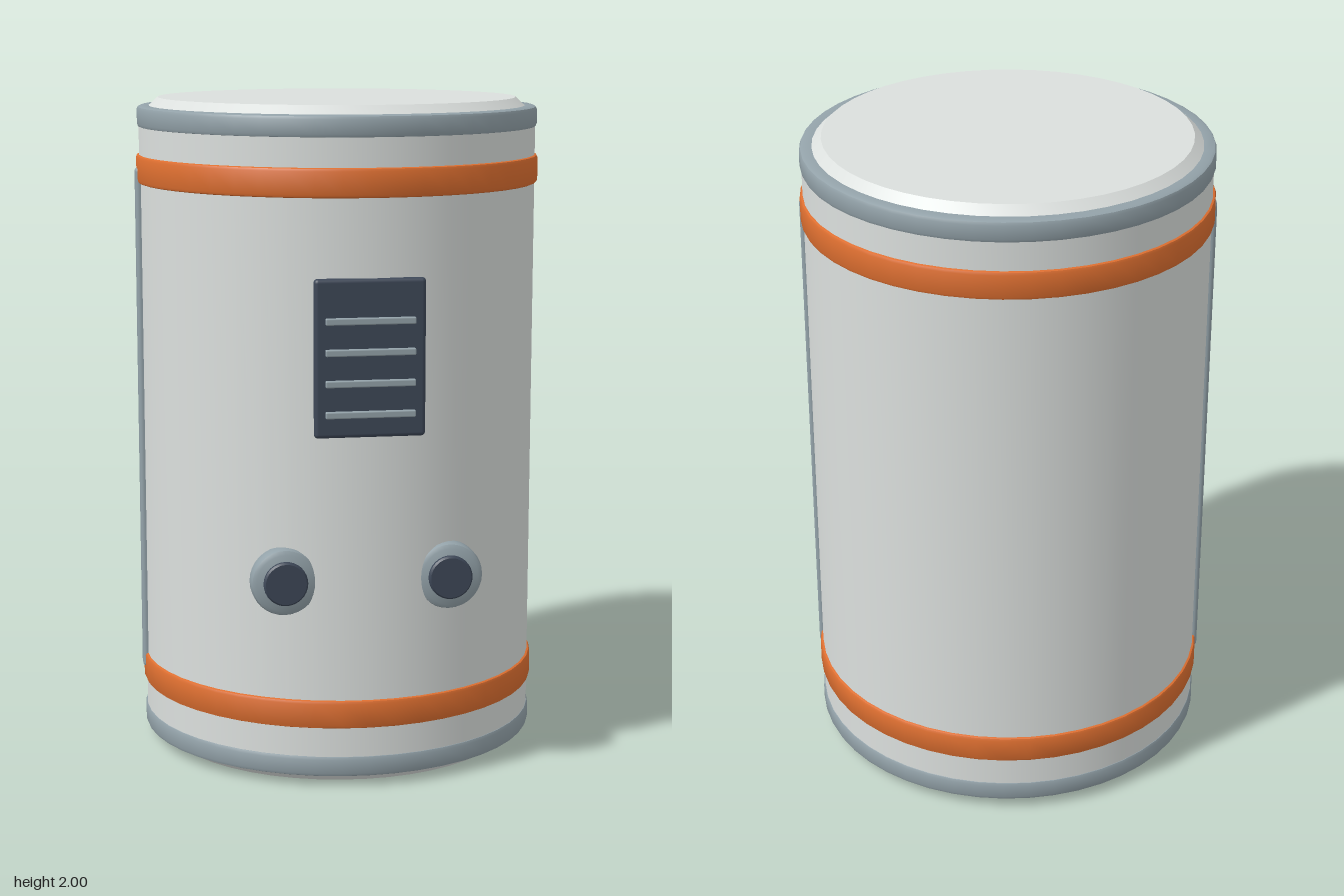
import * as THREE from 'three';
import { toCreasedNormals } from 'three/addons/utils/BufferGeometryUtils.js';
import { RoundedBoxGeometry } from 'three/addons/geometries/RoundedBoxGeometry.js';

const material = (name, color) => {
  const m = new THREE.MeshStandardMaterial({ color });
  m.name = name;
  return m;
};

// Revolved profile with crisp bevel edges
const lathe = (points, segments) => toCreasedNormals(
  new THREE.LatheGeometry(points.map(([r, y]) => new THREE.Vector2(r, y)), segments), 0.6);

// Closed band profile with bevelled outer corners
const band = (inner, outer, y0, y1, bevel) => lathe([
  [inner, y0], [outer - bevel, y0], [outer - bevel * 0.3, y0 + bevel * 0.3], [outer, y0 + bevel],
  [outer, y1 - bevel], [outer - bevel * 0.3, y1 - bevel * 0.3], [outer - bevel, y1], [inner, y1],
], 48);

export function createModel() {
  const shell = material('shell grey', 0xdbdfdd);
  const steel = material('steel blue', 0x93a2a9);
  const orange = material('orange', 0xde6f30);
  const dark = material('dark slate', 0x3d4757);

  const model = new THREE.Group();
  model.name = 'canister';
  const add = (name, geometry, mat, x = 0, y = 0, z = 0, parent = model) => {
    const mesh = new THREE.Mesh(geometry, mat);
    mesh.name = name;
    mesh.position.set(x, y, z);
    parent.add(mesh);
    return mesh;
  };
  const zc = -0.007; // drum axis, set back to balance the front fittings

  // Drum with chamfered ends
  add('drum', lathe([[0, 0], [0.547, 0], [0.607, 0.055], [0.607, 1.945], [0.547, 2], [0, 2]], 48), shell, 0, 0, zc);

  // End rims and painted hoops
  add('bottomRim', band(0.575, 0.612, 0.03, 0.095, 0.012), steel, 0, 0, zc);
  add('topRim', band(0.575, 0.612, 1.91, 1.975, 0.012), steel, 0, 0, zc);
  add('bottomHoop', band(0.59, 0.616, 0.18, 0.266, 0.01), orange, 0, 0, zc);
  add('topHoop', band(0.59, 0.616, 1.742, 1.828, 0.01), orange, 0, 0, zc);

  // Vertical side rails
  for (const side of [-1, 1]) {
    add(side > 0 ? 'leftRail' : 'rightRail', new RoundedBoxGeometry(0.036, 1.57, 0.055, 3, 0.012),
      steel, side * 0.603, 1.005, zc);
  }

  // Vent panel with raised slats
  const vent = new THREE.Group();
  vent.name = 'vent';
  vent.position.set(0, 1.285, 0);
  model.add(vent);
  add('ventPanel', new RoundedBoxGeometry(0.324, 0.46, 0.03, 3, 0.012), dark, 0, 0, 0.593, vent);
  for (let i = 0; i < 4; i++) {
    add('ventSlat', new RoundedBoxGeometry(0.262, 0.02, 0.02, 2, 0.004), steel, 0, -0.161 + i * 0.09, 0.611, vent);
  }

  // Pair of round ports
  const collar = lathe([
    [0, 0], [0.085, 0], [0.096, 0.005], [0.1, 0.015], [0.1, 0.045],
    [0.096, 0.057], [0.084, 0.064], [0, 0.064],
  ], 32);
  const plug = lathe([[0, 0], [0.065, 0], [0.065, 0.034], [0.06, 0.04], [0, 0.04]], 32);
  for (const side of [-1, 1]) {
    const port = new THREE.Group();
    port.name = side > 0 ? 'leftPort' : 'rightPort';
    port.position.set(side * 0.244, 0.625, 0.517);
    port.rotation.x = Math.PI / 2;
    model.add(port);
    add('portCollar', collar, steel, 0, 0, 0, port);
    add('portPlug', plug, dark, 0, 0.04, 0, port);
  }
  return model;
}
